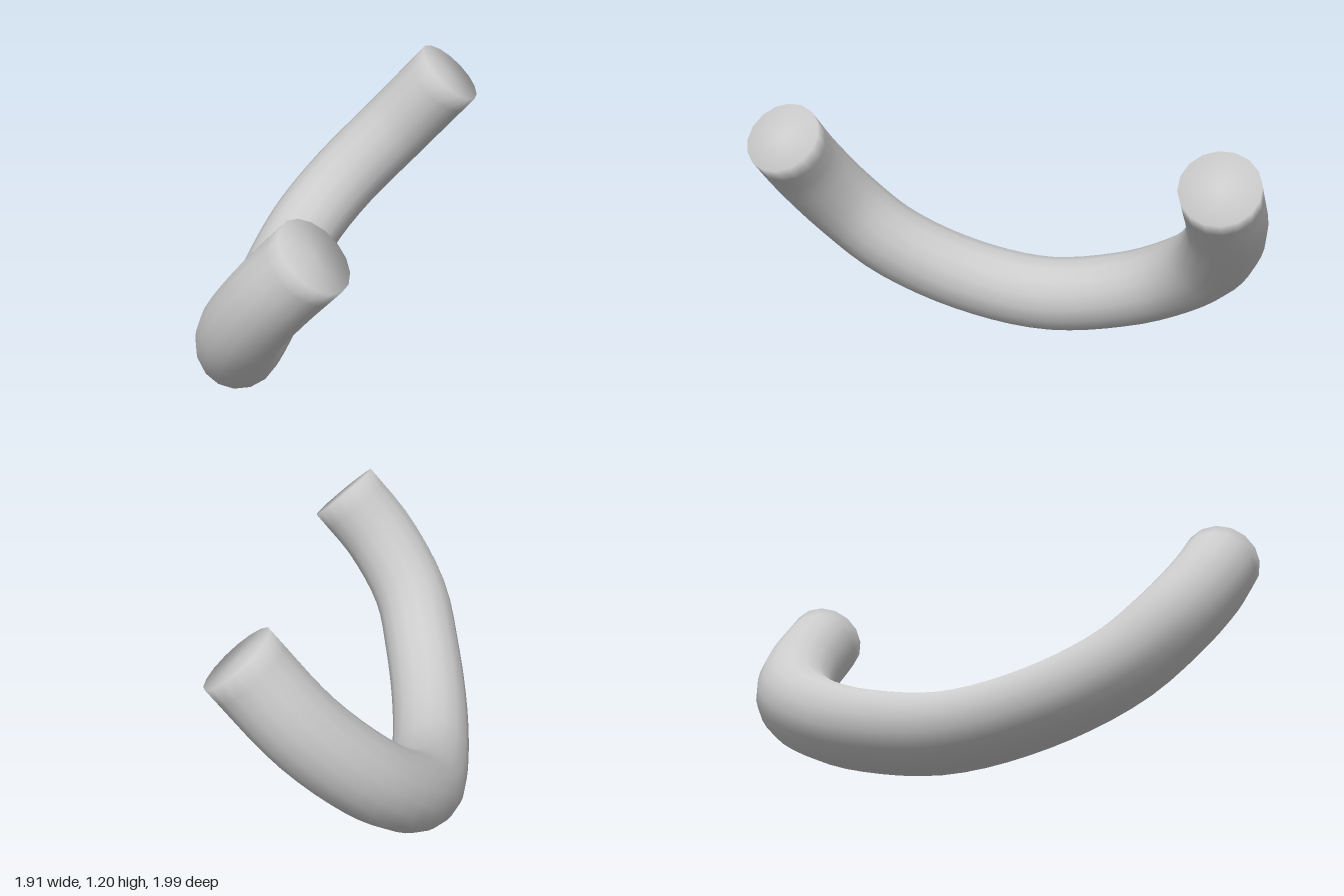
import * as THREE from 'three';
import { mergeVertices } from 'three/addons/utils/BufferGeometryUtils.js';

const RADIUS = 0.175, SEGMENTS = 40, SIDES = 16;

// Centre line of the bent tube, from its front end to its back end
const PATH = [
  [-0.617, 1.035, 0.845], [-0.735, 0.83, 0.70], [-0.785, 0.59, 0.50],
  [-0.72, 0.40, 0.30], [-0.56, 0.24, 0], [-0.33, 0.175, -0.33],
  [-0.08, 0.25, -0.625], [0.12, 0.37, -0.77], [0.34, 0.535, -0.825],
  [0.59, 0.78, -0.765], [0.80, 1.085, -0.60],
].map((p) => new THREE.Vector3(...p));

// Tube closed by a flat fan at each end, with normals smoothed over the rims
function cappedTube(curve) {
  const tube = new THREE.TubeGeometry(curve, SEGMENTS, RADIUS, SIDES, false);
  const positions = Array.from(tube.attributes.position.array);
  const index = Array.from(tube.index.array);
  const addCap = (t, ring, flip) => {
    const centre = positions.length / 3;
    positions.push(...curve.getPointAt(t).toArray());
    const first = ring * (SIDES + 1);
    for (let i = first; i < first + SIDES; i++) {
      index.push(centre, flip ? i + 1 : i, flip ? i : i + 1);
    }
  };
  addCap(0, 0, false);
  addCap(1, SEGMENTS, true);

  const geometry = new THREE.BufferGeometry();
  geometry.setAttribute('position', new THREE.Float32BufferAttribute(positions, 3));
  geometry.setIndex(index);
  const welded = mergeVertices(geometry, 1e-4);
  welded.computeVertexNormals();
  return welded;
}

export function createModel() {
  const group = new THREE.Group();
  group.name = 'bentTube';
  const curve = new THREE.CatmullRomCurve3(PATH);
  const material = new THREE.MeshStandardMaterial({ color: 0xcccccc });
  const tube = new THREE.Mesh(cappedTube(curve), material);
  tube.name = 'curvedTube';
  group.add(tube);
  return group;
}
